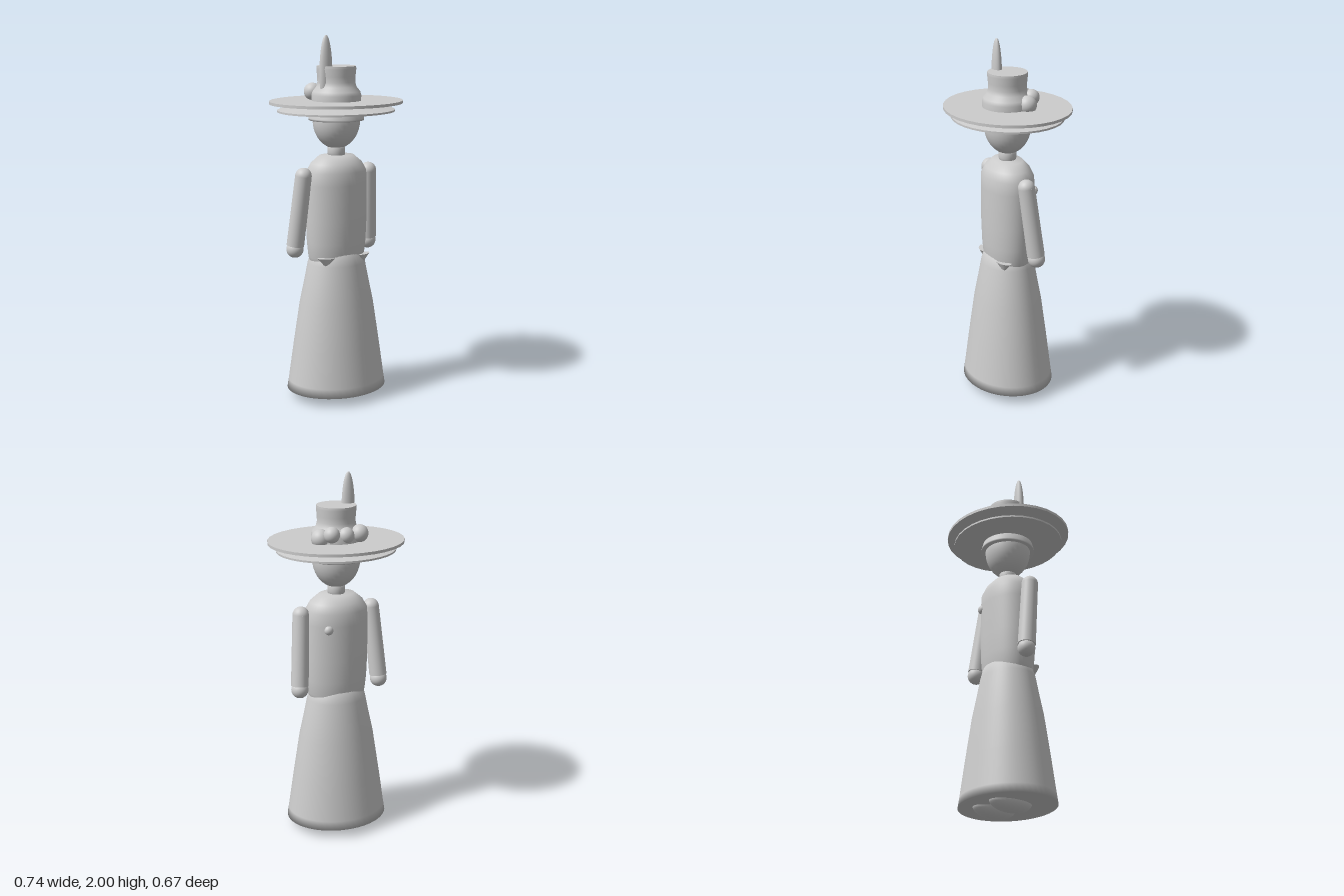
import * as THREE from 'three';

export function createModel() {
  const model = new THREE.Group();
  model.name = 'figureWithHat';
  const grey = new THREE.MeshStandardMaterial({ name: 'pale grey', color: 0xcccccc });

  const add = (name, geometry, x = 0, y = 0, z = 0) => {
    const mesh = new THREE.Mesh(geometry, grey);
    mesh.name = name;
    mesh.position.set(x, y, z);
    model.add(mesh);
    return mesh;
  };
  // Turned form with an elliptical plan
  const turned = (name, profile, depth = 1) => {
    const points = profile.map(([r, y]) => new THREE.Vector2(r, y));
    return add(name, new THREE.LatheGeometry(points, 48).scale(1, 1, depth));
  };
  const ellipsoid = (name, [rx, ry, rz], x, y, z) =>
    add(name, new THREE.SphereGeometry(1, 32, 20).scale(rx, ry, rz), x, y, z);

  // Body
  turned('skirt', [[0, 0.05], [0.285, 0.05], [0.277, 0.1], [0.248, 0.3], [0.211, 0.54],
    [0.185, 0.66], [0.165, 0.76], [0.147, 0.82], [0.1, 0.86], [0, 0.86]], 0.86);
  turned('torso', [[0, 0.72], [0.14, 0.72], [0.163, 0.8], [0.172, 0.88], [0.177, 1.0], [0.177, 1.2],
    [0.174, 1.27], [0.148, 1.315], [0.1, 1.355], [0, 1.36]], 0.76);
  turned('neck', [[0, 1.33], [0.042, 1.33], [0.048, 1.37], [0.048, 1.39], [0.042, 1.43], [0, 1.43]]);
  ellipsoid('head', [0.13, 0.155, 0.125], 0, 1.545, 0);
  turned('hairBand', [[0.12, 1.547], [0.15, 1.547], [0.15, 1.557], [0.138, 1.6], [0.12, 1.62]]);
  ellipsoid('brooch', [0.025, 0.025, 0.02], 0.09, 1.185, -0.113);

  // Arms, shoes and small points at the waist
  const up = new THREE.Vector3(0, 1, 0);
  for (const side of [1, -1]) {
    const label = side > 0 ? 'left' : 'right';
    const shoulder = new THREE.Vector3(side * 0.206, 1.255, 0);
    const wrist = new THREE.Vector3(side * 0.234, 0.87, -0.045);
    const along = shoulder.clone().sub(wrist);
    const arm = add(label + 'Arm', new THREE.CylinderGeometry(0.045, 0.048, along.length(), 32));
    arm.position.copy(shoulder).add(wrist).multiplyScalar(0.5);
    arm.quaternion.setFromUnitVectors(up, along.normalize());
    ellipsoid(label + 'Shoulder', [0.045, 0.045, 0.045], side * 0.206, 1.255, 0);
    ellipsoid(label + 'Hand', [0.047, 0.047, 0.047], side * 0.235, 0.848, -0.048);
    ellipsoid(label + 'Shoe', [0.072, 0.055, 0.125], side * 0.073, 0.055, -0.035);

    const point = new THREE.ConeGeometry(1, 0.055, 24).rotateX(Math.PI).scale(0.05, 1, 0.028);
    const waistPoint = add(label + 'WaistPoint', point, side * 0.116, 0.782, 0.088);
    waistPoint.rotation.y = side * 0.35;
  }

  // Hat: a wide flat brim over a shallow cone, with a waisted crown
  add('upperBrim', new THREE.CylinderGeometry(0.37, 0.37, 0.015, 32).scale(1, 1, 0.9), 0, 1.643, 0);
  add('lowerBrim', new THREE.CylinderGeometry(0.12, 0.325, 0.036, 32).scale(1, 1, 0.91), 0, 1.62, 0);
  add('lowerBrimEdge', new THREE.CylinderGeometry(0.325, 0.325, 0.01, 32).scale(1, 1, 0.91), 0, 1.597, 0);
  turned('crown', [[0.134, 1.645], [0.134, 1.68], [0.128, 1.7], [0.108, 1.725], [0.102, 1.75],
    [0.103, 1.78], [0.107, 1.82], [0.106, 1.832]]);
  add('crownTop', new THREE.CylinderGeometry(0.106, 0.106, 0.006, 48), 0, 1.832, 0);
  ellipsoid('feather', [0.037, 0.2, 0.025], -0.078, 1.8, 0.022);

  // Row of round flowers
  const flowers = [[-0.09, 1.695, -0.1, 0.047], [-0.01, 1.69, -0.103, 0.045],
    [0.07, 1.7, -0.105, 0.043], [0.113, 1.675, -0.056, 0.05]];
  for (const [x, y, z, r] of flowers) ellipsoid('flower', [r, r, r], x, y, z);

  return model;
}
